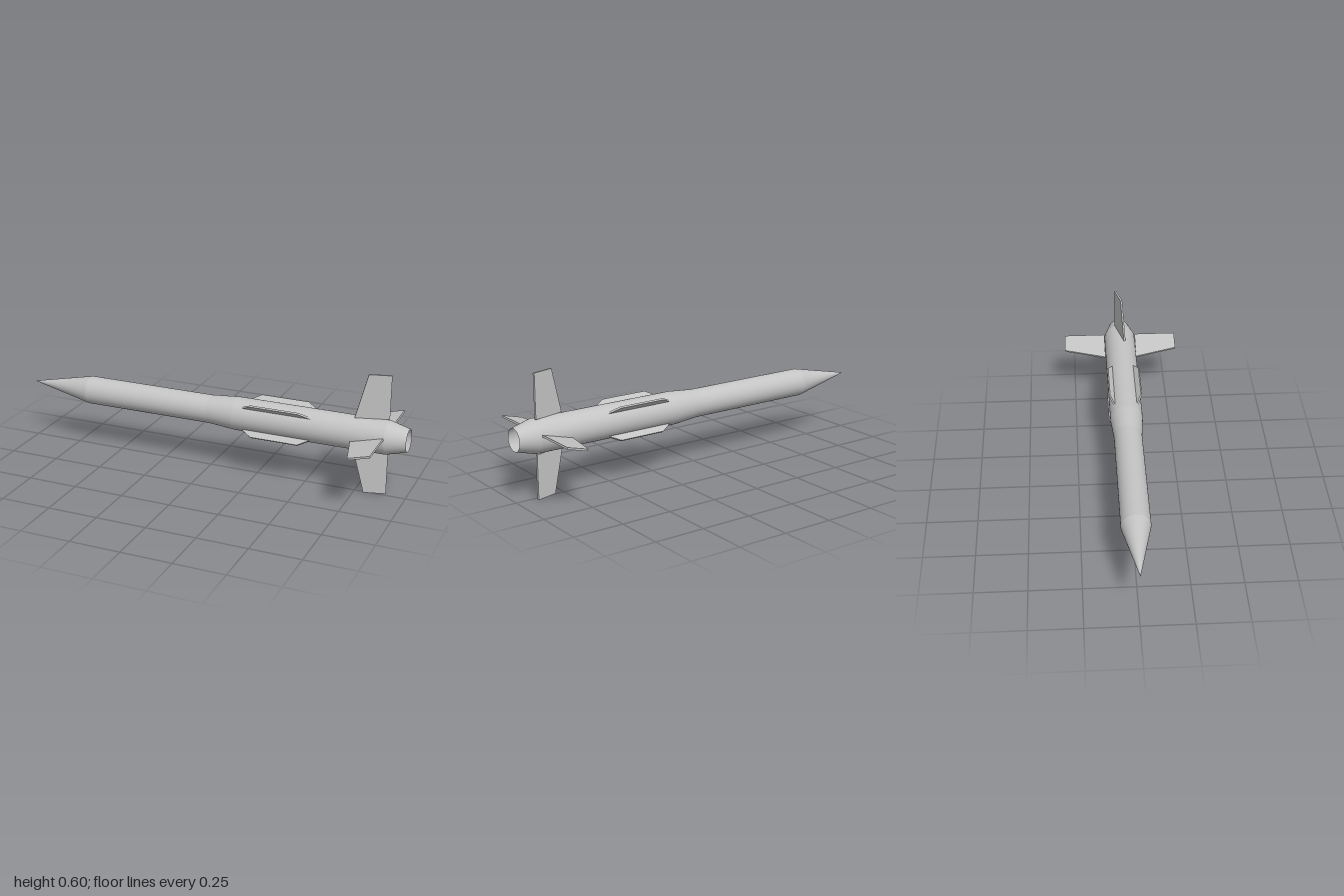
import * as THREE from 'three';

const AXIS_Y = 0.3;

export function createModel() {
  const model = new THREE.Group();
  model.name = 'finnedRocket';

  const grey = new THREE.MeshStandardMaterial({ color: 0xc4c4c4, side: THREE.DoubleSide });
  grey.name = 'light grey';

  // All parts are built around the x axis, then lifted
  const rocket = new THREE.Group();
  rocket.name = 'rocket';
  rocket.position.y = AXIS_Y;
  model.add(rocket);

  // Hull: one open lathe per section keeps the joints crisp; the tail is hollow
  const sections = [
    ['noseCone', -1, 0, -0.67, 0.07],
    ['forwardBody', -0.67, 0.07, 0, 0.07],
    ['flare', 0, 0.07, 0.14, 0.082],
    ['rearBody', 0.14, 0.082, 0.9, 0.082],
    ['boatTail', 0.9, 0.082, 1, 0.055],
  ];
  for (const [name, x0, r0, x1, r1] of sections) {
    const geo = new THREE.LatheGeometry(
      [new THREE.Vector2(r0, x0), new THREE.Vector2(r1, x1)], 64);
    geo.rotateZ(-Math.PI / 2);
    const mesh = new THREE.Mesh(geo, grey);
    mesh.name = name;
    rocket.add(mesh);
  }

  // Flat plate outlined in x and radius, centred in thickness
  function plate(points, thickness) {
    const shape = new THREE.Shape(points.map(([x, y]) => new THREE.Vector2(x, y)));
    const geo = new THREE.ExtrudeGeometry(shape, { depth: thickness, bevelEnabled: false });
    return geo.translate(0, 0, -thickness / 2);
  }

  // Four low strakes on the diagonals
  const strakeGeo = plate([[0.18, 0.078], [0.54, 0.078], [0.48, 0.115], [0.24, 0.115]], 0.009);
  for (let i = 0; i < 4; i++) {
    const strake = new THREE.Mesh(strakeGeo, grey);
    strake.name = 'strake' + (i + 1);
    strake.rotation.x = Math.PI / 4 + i * Math.PI / 2;
    rocket.add(strake);
  }

  // Four tail fins, each turned about its own span; opposite fins are parallel
  const finGeo = plate([[-0.082, 0.083], [0.0815, 0.083], [0.0815, 0.3], [-0.026, 0.3]], 0.0095);
  const deflection = THREE.MathUtils.degToRad(15);
  ['top', 'left', 'bottom', 'right'].forEach((side, i) => {
    const pivot = new THREE.Group();
    pivot.name = side + 'TailFin';
    pivot.position.x = 0.82;
    pivot.rotation.x = i * Math.PI / 2;
    const fin = new THREE.Mesh(finGeo, grey);
    fin.name = 'finPanel';
    fin.rotation.y = i < 2 ? deflection : -deflection;
    pivot.add(fin);
    rocket.add(pivot);
  });

  return model;
}
